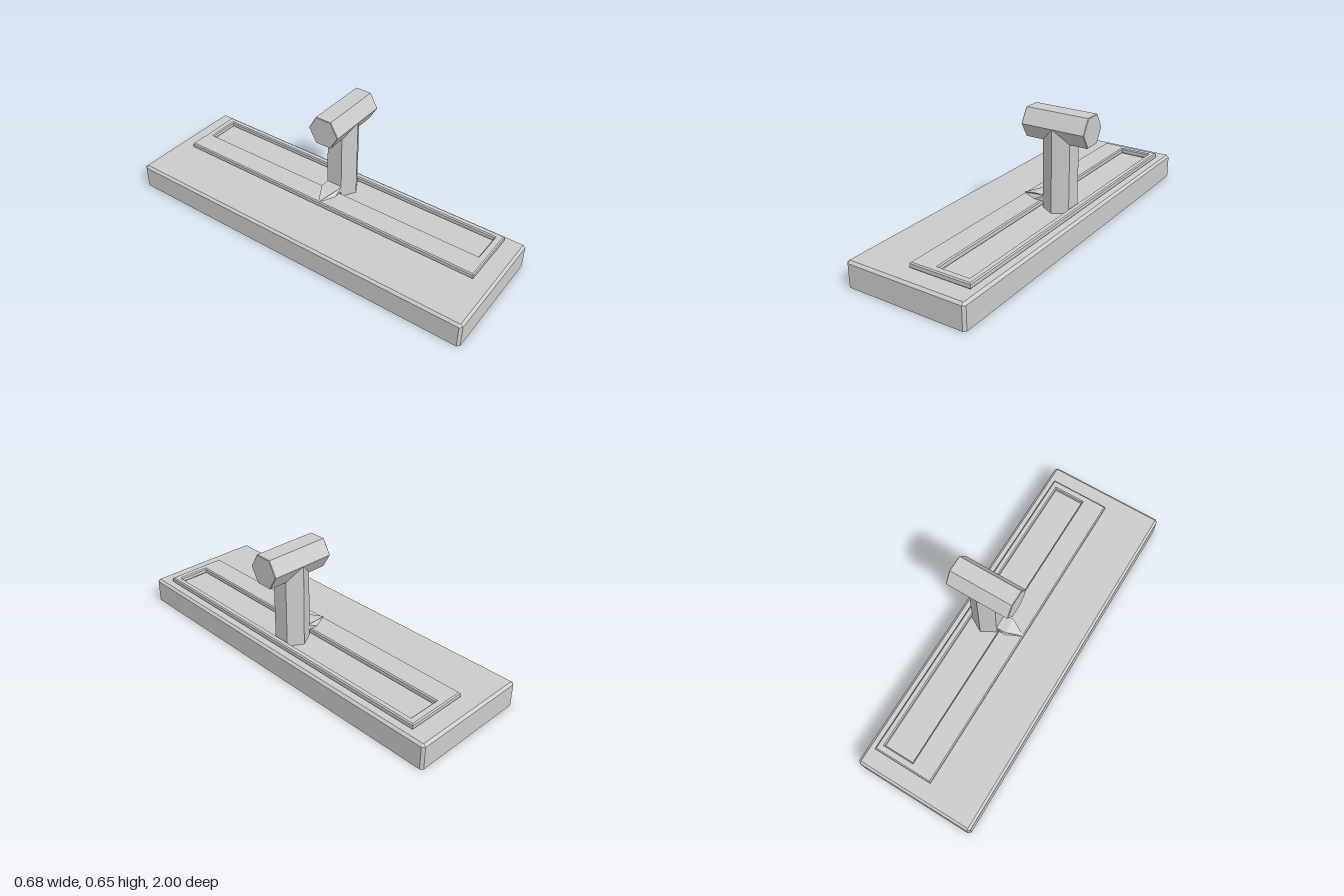
import * as THREE from 'three';

const solid = new THREE.MeshStandardMaterial({ color: 0xcccccc, flatShading: true });
const sheet = new THREE.MeshStandardMaterial({ color: 0xcccccc, flatShading: true, side: THREE.DoubleSide });

function part(name, geometry, material = solid) {
  const mesh = new THREE.Mesh(geometry, material);
  mesh.name = name;
  return mesh;
}

// Rectangle with cut corners, anticlockwise from above, at height y
function cutRectangle(cx, hx, hz, cut, y) {
  return [
    [hx, hz - cut], [hx, cut - hz], [hx - cut, -hz], [cut - hx, -hz],
    [-hx, cut - hz], [-hx, hz - cut], [cut - hx, hz], [hx - cut, hz],
  ].map(([x, z]) => [cx + x, y, z]);
}

// Skin over stacked rings, closed at the top and open below
function openShell(rings) {
  const n = rings[0].length, index = [];
  for (let r = 0; r < rings.length - 1; r++) {
    for (let i = 0; i < n; i++) {
      const a = r * n + i, b = r * n + (i + 1) % n;
      index.push(a, b, b + n, a, b + n, a + n);
    }
  }
  const top = (rings.length - 1) * n;
  for (let i = 1; i < n - 1; i++) index.push(top, top + i, top + i + 1);
  const g = new THREE.BufferGeometry();
  g.setAttribute('position', new THREE.Float32BufferAttribute(rings.flat(2), 3));
  g.setIndex(index);
  g.computeVertexNormals();
  return g;
}

function rectangle(path, x0, x1, hz) {
  path.moveTo(x0, -hz);
  path.lineTo(x1, -hz);
  path.lineTo(x1, hz);
  path.lineTo(x0, hz);
  path.closePath();
  return path;
}

export function createModel() {
  const model = new THREE.Group();
  model.name = 'leverSwitch';
  const postX = 0.164, hexRadius = 0.088;

  // Hollow base with chamfered corners and top edge
  const cx = -0.0085, hx = 0.3325;
  model.add(part('base', openShell([
    cutRectangle(cx, hx, 1, 0.013, 0),
    cutRectangle(cx, hx, 1, 0.013, 0.122),
    cutRectangle(cx, hx - 0.013, 0.987, 0.002, 0.134),
  ]), sheet));

  // Raised plate with a long slot
  const outline = rectangle(new THREE.Shape(), -0.052, 0.28, 0.9);
  outline.holes.push(rectangle(new THREE.Path(), 0.077, 0.246, 0.86));
  const bevel = 0.006, plateBottom = 0.135, plateTop = 0.166;
  const plate = new THREE.ExtrudeGeometry(outline, {
    depth: plateTop - plateBottom - 2 * bevel,
    bevelThickness: bevel, bevelSize: bevel, bevelOffset: -bevel, bevelSegments: 1,
  });
  plate.rotateX(-Math.PI / 2).translate(0, plateBottom + bevel, 0);
  model.add(part('slotPlate', plate));

  // Six-sided post, reaching a little through the base top
  const postBottom = 0.115, postTop = 0.576;
  const post = new THREE.CylinderGeometry(hexRadius, hexRadius, postTop - postBottom, 6);
  post.translate(postX, (postTop + postBottom) / 2, 0);
  model.add(part('post', post));

  // Six-sided crossbar handle with fine end chamfers
  const half = 0.176, edge = 0.003;
  const handle = new THREE.LatheGeometry([
    [0, -half], [hexRadius - edge, -half], [hexRadius, edge - half],
    [hexRadius, half - edge], [hexRadius - edge, half], [0, half],
  ].map(([r, y]) => new THREE.Vector2(r, y)), 6);
  handle.rotateZ(Math.PI / 2).translate(postX, 0.576, 0);
  model.add(part('handle', handle));

  // Pointer wedge: side profile extruded in z, then pinched to a tip
  const profile = new THREE.Shape([
    [-0.052, 0.166], [0.1, 0.166], [0.1, 0.2], [0.035, 0.2], [-0.052, 0.168],
  ].map(([x, y]) => new THREE.Vector2(x, y)));
  // A split in the lower edge keeps the sides straight behind the tip
  profile.curves.length = 0;
  profile.moveTo(-0.052, 0.166);
  profile.lineTo(0.035, 0.166);
  profile.lineTo(0.1, 0.166);
  profile.lineTo(0.1, 0.2);
  profile.lineTo(0.035, 0.2);
  profile.lineTo(-0.052, 0.168);
  profile.closePath();
  const pointer = new THREE.ExtrudeGeometry(profile, { depth: 0.088, bevelEnabled: false });
  pointer.translate(0, 0, -0.044);
  const p = pointer.attributes.position;
  for (let i = 0; i < p.count; i++) {
    if (p.getX(i) < -0.05) p.setZ(i, p.getZ(i) * 0.03);
  }
  pointer.computeVertexNormals();
  model.add(part('pointer', pointer));

  return model;
}
